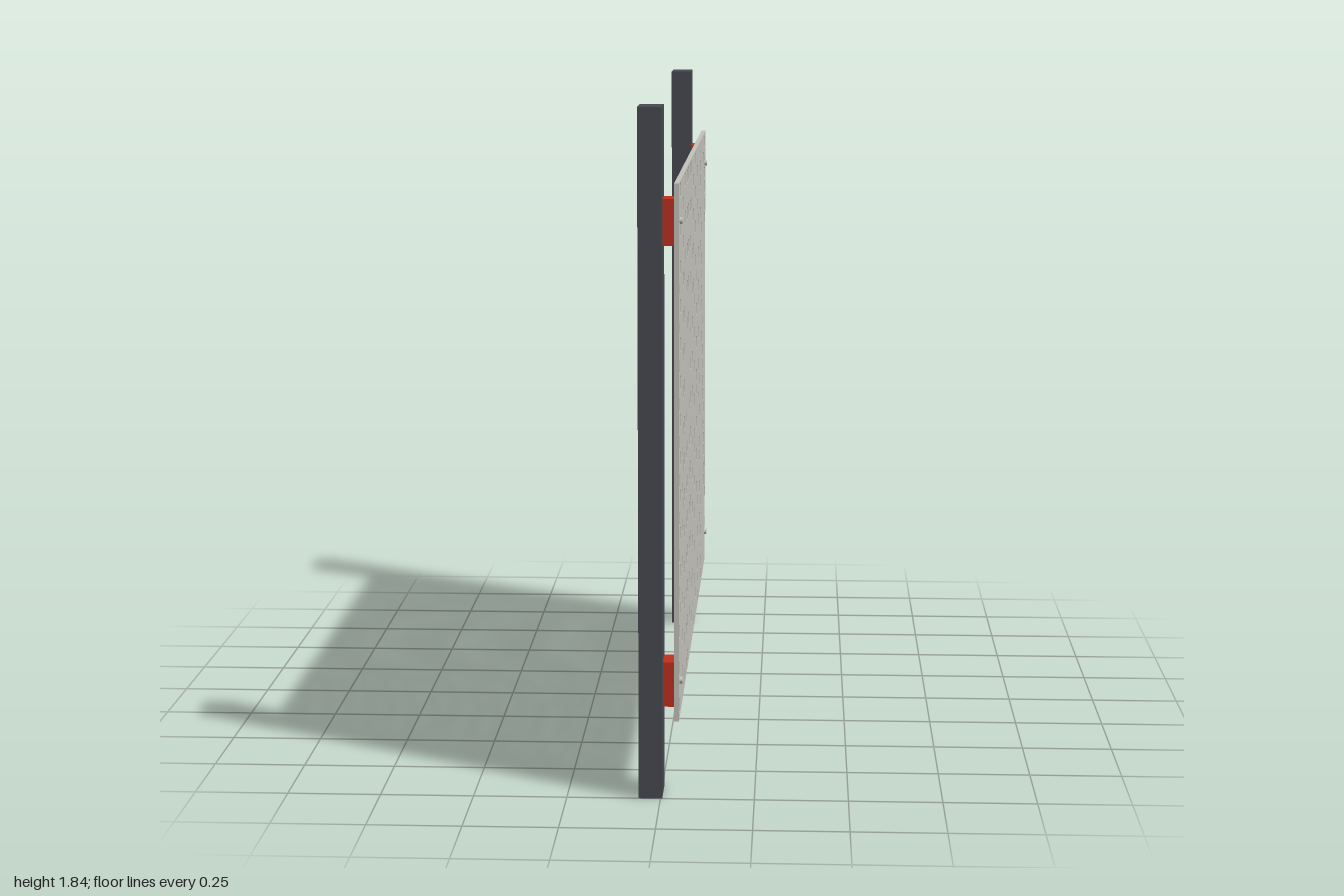
import * as THREE from 'three';

const paint = (color) => new THREE.MeshStandardMaterial({ color });

// Box given by its min and max corners
function box(name, [x0, y0, z0], [x1, y1, z1], material) {
  const mesh = new THREE.Mesh(new THREE.BoxGeometry(x1 - x0, y1 - y0, z1 - z0), material);
  mesh.position.set((x0 + x1) / 2, (y0 + y1) / 2, (z0 + z1) / 2);
  mesh.name = name;
  return mesh;
}

// Upright slot with round ends
function slot(cx, cy, width, height) {
  const r = width / 2;
  const h = height / 2 - r;
  const path = new THREE.Path();
  path.absarc(cx, cy + h, r, 0, Math.PI, false);
  path.absarc(cx, cy - h, r, Math.PI, Math.PI * 2, false);
  path.closePath();
  return path;
}

export function createModel() {
  const group = new THREE.Group();
  group.name = 'pegboardStand';
  const postMat = paint(0x474a52);
  const boardMat = paint(0xc3c2ba);
  const redMat = paint(0xc0301f);

  // Perforated board: staggered columns of slots
  const halfWidth = 0.967, bottom = 0.203, top = 1.637;
  const shape = new THREE.Shape([
    new THREE.Vector2(-halfWidth, bottom), new THREE.Vector2(halfWidth, bottom),
    new THREE.Vector2(halfWidth, top), new THREE.Vector2(-halfWidth, top),
  ]);
  const pitch = 0.051;
  for (let col = 0; col < 37; col++) {
    for (let row = 0; row < 14; row++) {
      const y = 0.233 + row * pitch * 2 + (col % 2) * pitch;
      shape.holes.push(slot((col - 18) * pitch, y, 0.0135, 0.04));
    }
  }
  const boardGeo = new THREE.ExtrudeGeometry(shape, { depth: 0.013, bevelEnabled: false, curveSegments: 5 });
  boardGeo.rotateY(Math.PI / 2);
  const board = new THREE.Mesh(boardGeo, boardMat);
  board.position.x = 0.035;
  board.name = 'perforatedBoard';
  group.add(board);

  for (const side of [1, -1]) {
    const label = side > 0 ? 'front' : 'rear';
    // Posts
    group.add(box(label + 'Post', [-0.058, 0, side * 0.9365 - 0.0635], [0.005, 1.835, side * 0.9365 + 0.0635], postMat));

    // Spacer blocks with a screw through the board
    for (const y of [0.304, 1.536]) {
      const mount = new THREE.Group();
      mount.name = label + (y < 1 ? 'Lower' : 'Upper') + 'Mount';
      const z = side * 0.925;
      mount.add(box('spacer', [0.005, y - 0.061, z - 0.04], [0.035, y + 0.061, z + 0.04], redMat));
      const screw = new THREE.Mesh(new THREE.CylinderGeometry(0.009, 0.009, 0.022, 16), boardMat);
      screw.rotation.z = Math.PI / 2;
      screw.position.set(0.044, y, side * 0.918);
      screw.name = 'screw';
      mount.add(screw);
      group.add(mount);
    }
  }
  return group;
}
